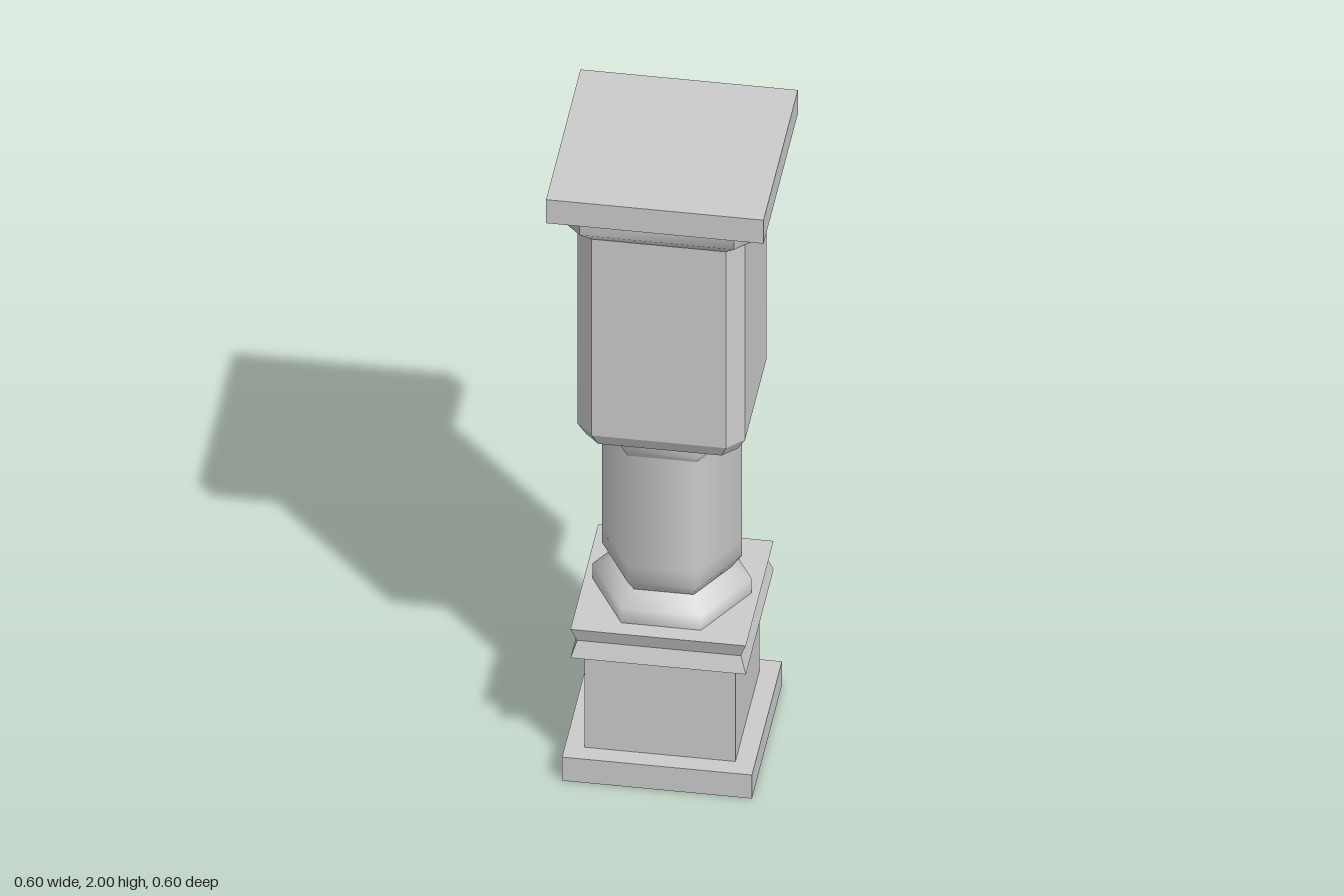
import * as THREE from 'three';
import { mergeGeometries } from 'three/addons/utils/BufferGeometryUtils.js';

const flat = new THREE.MeshStandardMaterial({ color: 0xcccccc, flatShading: true, side: THREE.DoubleSide });
const smooth = new THREE.MeshStandardMaterial({ color: 0xcccccc, side: THREE.DoubleSide });

// Sweeps a [radius, y] profile around the vertical axis with a few sides
function turned(profile, sides, start) {
  return new THREE.LatheGeometry(profile.map(([r, y]) => new THREE.Vector2(r, y)), sides, start);
}

// Stacks chamfered squares given as [halfWidth, halfFlat, y]; each side is its own strip, so corners stay sharp
function chamfered(sections) {
  const ring = (h, f) => [[-f, h], [f, h], [h, f], [h, -f], [f, -h], [-f, -h], [-h, -f], [-h, f]];
  const strips = [];
  for (let s = 0; s < 8; s++) {
    const positions = [], index = [];
    sections.forEach(([h, f, y], i) => {
      const corners = ring(h, f);
      const a = corners[s], b = corners[(s + 1) % 8];
      positions.push(a[0], y, a[1], b[0], y, b[1]);
      if (i > 0) {
        const k = 2 * i - 2;
        index.push(k, k + 1, k + 3, k, k + 3, k + 2);
      }
    });
    const strip = new THREE.BufferGeometry();
    strip.setAttribute('position', new THREE.Float32BufferAttribute(positions, 3));
    strip.setIndex(index);
    strip.computeVertexNormals();
    strips.push(strip);
  }
  return mergeGeometries(strips);
}

export function createModel() {
  const group = new THREE.Group();
  const add = (name, geometry, material) => {
    const mesh = new THREE.Mesh(geometry, material);
    mesh.name = name;
    group.add(mesh);
    return mesh;
  };
  const square = (profile) => turned(profile.map(([h, y]) => [h * Math.SQRT2, y]), 4, Math.PI / 4);
  const hexagon = (profile) => turned(profile, 6, Math.PI / 2);

  // Hollow square pedestal, open underneath
  add('plinth', square([[0.262, 0], [0.262, 0.08], [0.208, 0.08]]), flat);
  add('pedestal', square([[0.208, 0.08], [0.208, 0.405]]), flat);
  add('pedestalMoulding', square([[0.208, 0.405], [0.242, 0.405], [0.226, 0.455], [0.242, 0.502], [0, 0.502]]), flat);

  // Six-sided column, softly shaded
  add('columnFoot', hexagon([[0.22, 0.502], [0.22, 0.55], [0.165, 0.585]]), smooth);
  add('columnShaft', hexagon([[0.165, 0.585], [0.193, 0.625], [0.193, 0.68], [0.193, 1.055]]), smooth);
  add('columnCollar', hexagon([[0.193, 1.055], [0.208, 1.08], [0.208, 1.12]]), smooth);

  // Square upper block with chamfered corners and a bevelled underside
  add('upperBlock', chamfered([
    [0, 0, 1.118], [0.21, 0.17, 1.118], [0.231, 0.185, 1.16], [0.231, 0.185, 1.828],
  ]), flat);

  // Flared crown under the top slab
  add('crown', chamfered([[0.231, 0.185, 1.828], [0.263, 0.213, 1.862], [0.263, 0.213, 1.92]]), smooth);
  add('topSlab', new THREE.BoxGeometry(0.6, 0.08, 0.6), flat).position.y = 1.96;

  return group;
}
